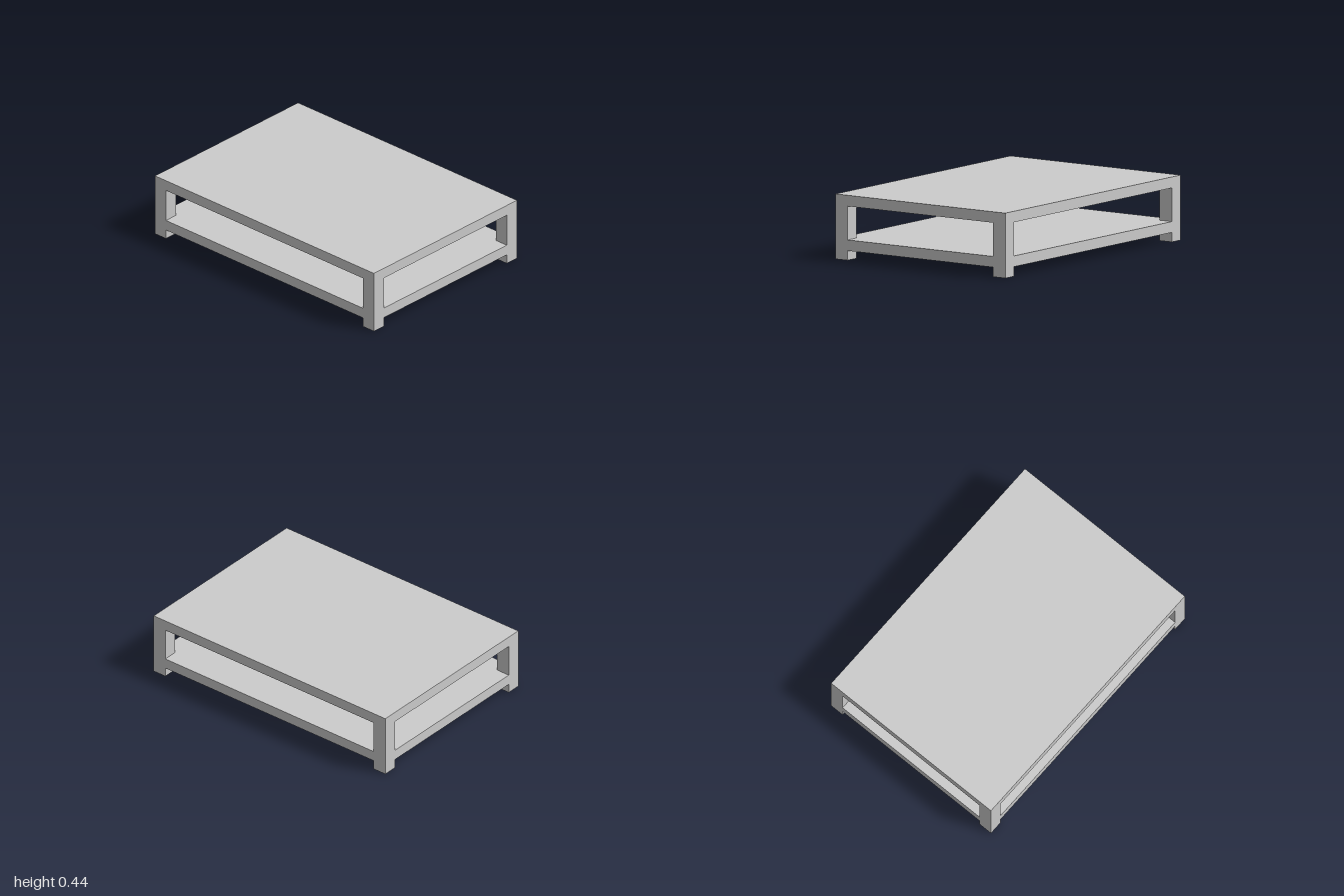
import * as THREE from 'three';

const W = 1.4, D = 2, LEG = 0.1;      // footprint and leg thickness
const TOP = 0.44, TOP_UNDER = 0.366;  // table top
const SHELF_TOP = 0.138, SHELF_UNDER = 0.065;

export function createModel() {
  const group = new THREE.Group();
  const material = new THREE.MeshStandardMaterial({ color: 0xcccccc, flatShading: true });

  const add = (name, geometry, x, y, z) => {
    const mesh = new THREE.Mesh(geometry, material);
    mesh.name = name;
    mesh.position.set(x, y, z);
    group.add(mesh);
  };

  // Table top, covering the legs
  add('tableTop', new THREE.BoxGeometry(W, TOP - TOP_UNDER, D), 0, (TOP + TOP_UNDER) / 2, 0);

  // Lower shelf, flush with the legs and notched around them
  const a = W / 2, b = D / 2, c = a - LEG, d = b - LEG;
  const outline = [
    [c, -b], [c, -d], [a, -d], [a, d], [c, d], [c, b],
    [-c, b], [-c, d], [-a, d], [-a, -d], [-c, -d], [-c, -b],
  ].map(([x, y]) => new THREE.Vector2(x, y));
  const shelf = new THREE.ExtrudeGeometry(new THREE.Shape(outline), {
    depth: SHELF_TOP - SHELF_UNDER,
    bevelEnabled: false,
  });
  shelf.rotateX(-Math.PI / 2);
  add('lowerShelf', shelf, 0, SHELF_UNDER, 0);

  // Four square legs at the corners
  const leg = new THREE.BoxGeometry(LEG, TOP_UNDER, LEG);
  for (const sx of [-1, 1]) {
    for (const sz of [-1, 1]) {
      const name = (sz > 0 ? 'front' : 'back') + (sx > 0 ? 'Left' : 'Right') + 'Leg';
      add(name, leg, sx * (a - LEG / 2), TOP_UNDER / 2, sz * (b - LEG / 2));
    }
  }

  return group;
}
